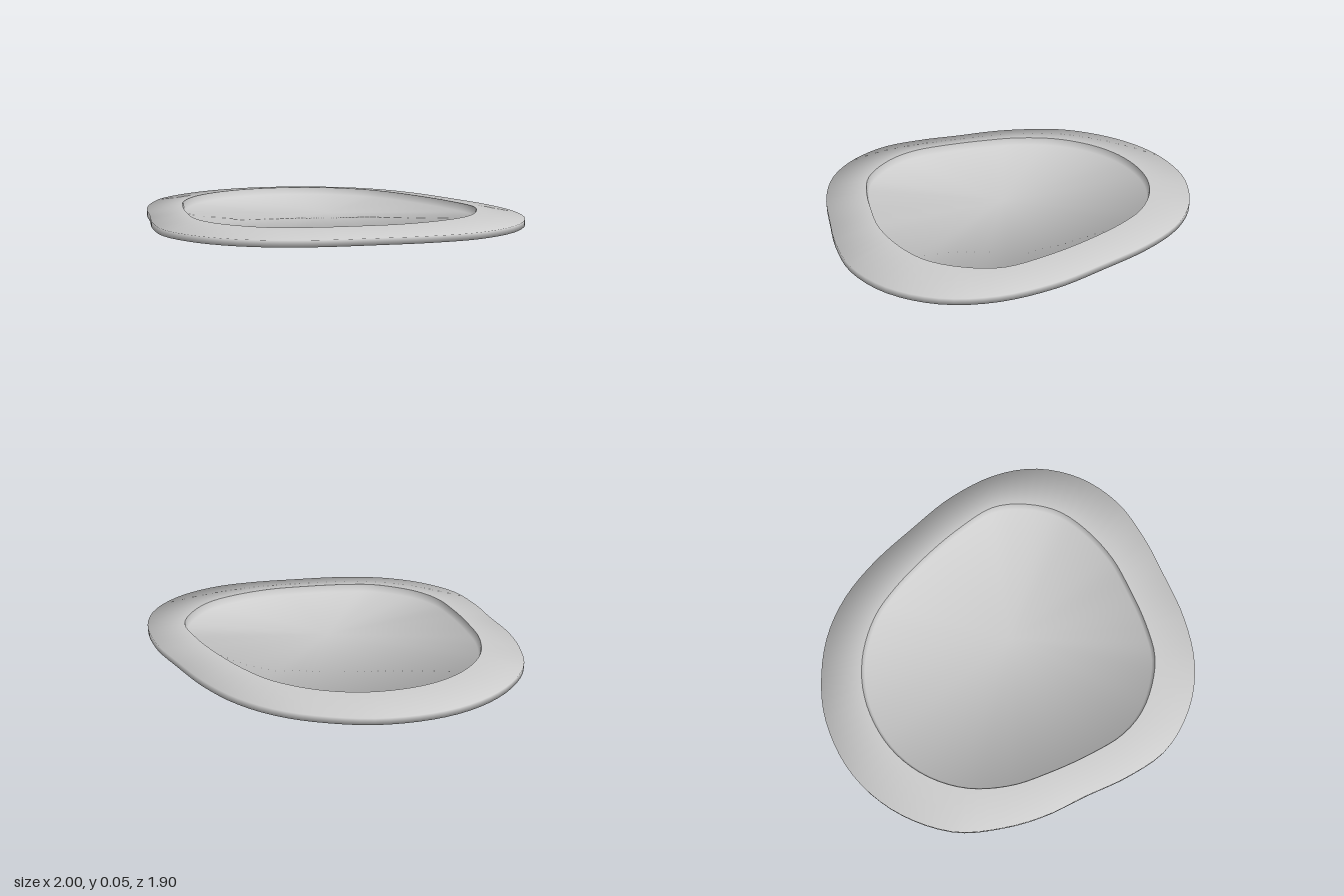
import * as THREE from 'three';

const SEGMENTS = 96;

// Plan outlines as x, z pairs, anticlockwise seen from above
const OUTER = [
  1, .11, .95, -.12, .8, -.36, .6, -.56, .4, -.74, .2, -.87, 0, -.94, -.2, -.955,
  -.45, -.915, -.72, -.765, -.905, -.535, -.997, -.24, -.97, 0, -.905, .2, -.8, .4, -.7, .6,
  -.56, .79, -.345, .91, -.115, .945, .135, .9, .4, .79, .6, .695, .805, .555, .95, .35,
];
const INNER = [
  .765, .06, .74, -.12, .6, -.305, .43, -.47, .23, -.625, .07, -.71, -.16, -.75, -.38, -.71,
  -.595, -.58, -.73, -.4, -.79, -.19, -.77, .03, -.7, .215, -.6, .415, -.49, .58, -.345, .685,
  -.105, .74, .08, .7, .295, .61, .465, .52, .63, .375, .73, .23,
];

// Evenly spaced points on a closed outline, with outward directions
function outline(pairs) {
  const pts = [];
  for (let i = 0; i < pairs.length; i += 2) pts.push(new THREE.Vector3(pairs[i], 0, pairs[i + 1]));
  const curve = new THREE.CatmullRomCurve3(pts, true);
  return Array.from({ length: SEGMENTS + 1 }, (_, i) => {
    const u = i / SEGMENTS;
    const p = curve.getPointAt(u);
    const t = curve.getTangentAt(u);
    return { x: p.x, z: p.z, nx: -t.z, nz: t.x };
  });
}

// Skin a list of rings; tilt is the normal's angle above the horizontal, in degrees
function skin(rings) {
  const position = [], normal = [], index = [];
  const row = SEGMENTS + 1;
  rings.forEach(({ path, scale = 1, y, tilt }, r) => {
    const a = THREE.MathUtils.degToRad(tilt);
    for (const p of path) {
      position.push(p.x * scale, y, p.z * scale);
      normal.push(p.nx * Math.cos(a), Math.sin(a), p.nz * Math.cos(a));
    }
    if (r === 0) return;
    for (let i = 0; i < SEGMENTS; i++) {
      const a0 = (r - 1) * row + i, b0 = r * row + i;
      if (rings[r - 1].scale !== 0) index.push(a0, a0 + 1, b0);
      if (scale !== 0) index.push(a0 + 1, b0 + 1, b0);
    }
  });
  const g = new THREE.BufferGeometry();
  g.setAttribute('position', new THREE.Float32BufferAttribute(position, 3));
  g.setAttribute('normal', new THREE.Float32BufferAttribute(normal, 3));
  g.setIndex(index);
  return g;
}

export function createModel() {
  const group = new THREE.Group();
  group.name = 'shallowDish';
  const grey = new THREE.MeshStandardMaterial({ color: 0xcccccc, side: THREE.DoubleSide });
  grey.name = 'light grey';

  const outer = outline(OUTER);
  const inner = outline(INNER);

  // Underside, side wall and sloping rim, softly rounded together
  const shell = new THREE.Mesh(skin([
    { path: outer, scale: 0, y: 0, tilt: -90 },
    { path: outer, y: 0, tilt: -45 },
    { path: outer, y: 0.03, tilt: 43 },
    { path: inner, y: 0.05, tilt: 85 },
  ]), grey);
  shell.name = 'shellAndRim';

  // Sunken basin inside the crisp rim edge
  const basin = new THREE.Mesh(skin([
    { path: inner, y: 0.05, tilt: 165 },
    { path: inner, scale: 0.985, y: 0.01, tilt: 127 },
    { path: inner, scale: 0, y: 0.01, tilt: 90 },
  ]), grey);
  basin.name = 'basin';

  group.add(shell, basin);
  return group;
}
